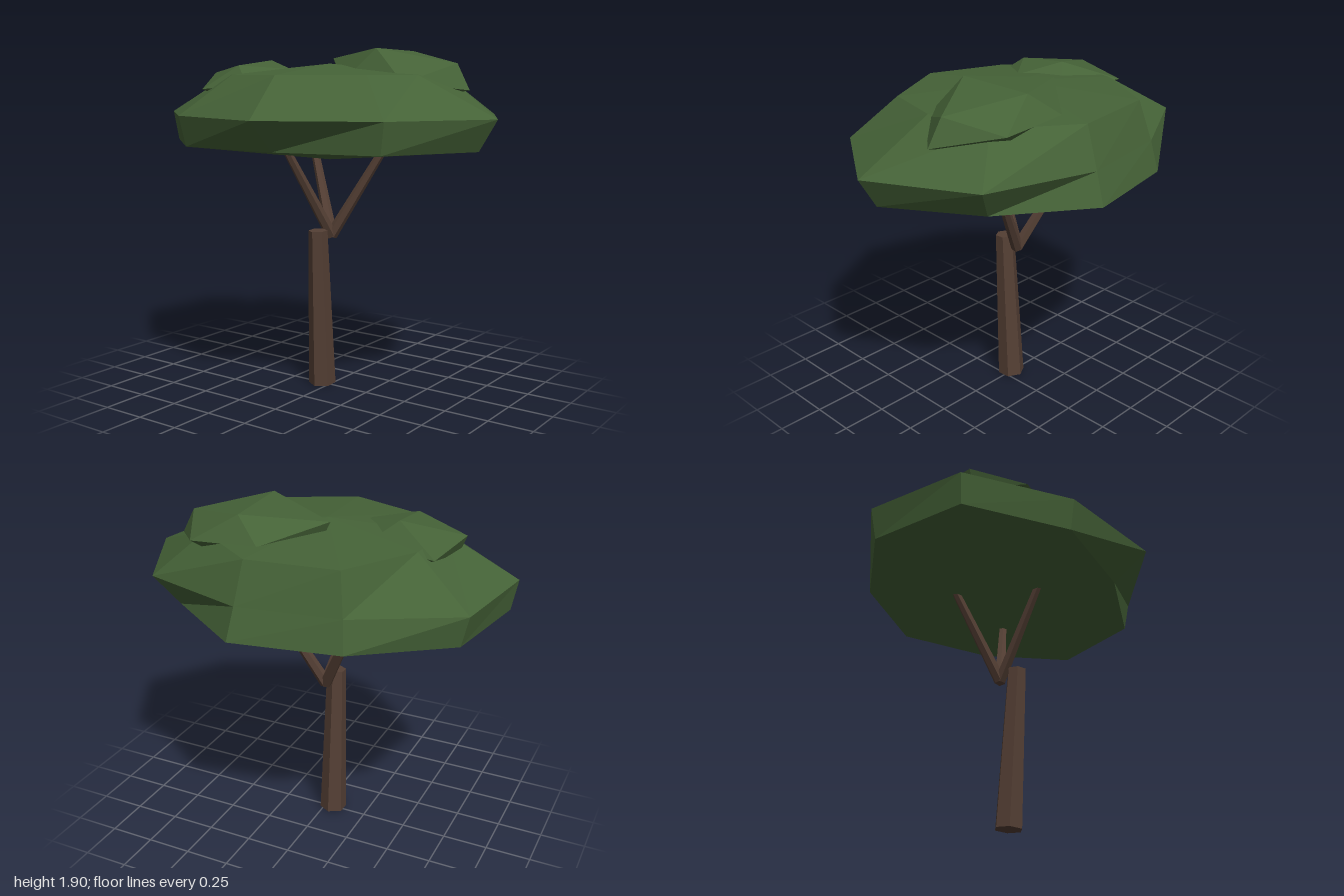
import * as THREE from 'three';
import { ConvexGeometry } from 'three/addons/geometries/ConvexGeometry.js';

const leaf = new THREE.MeshStandardMaterial({ name: 'leaf green', color: 0x456237, flatShading: true });
const bark = new THREE.MeshStandardMaterial({ name: 'bark brown', color: 0x543f34, flatShading: true });

// Faceted body from closed rings of [x, z] stacked bottom to top, capped by two centre points
function ringBody(rings, heights, bottom, top) {
  const n = rings[0].length, pos = [], index = [];
  rings.forEach((ring, r) => ring.forEach(([x, z]) => pos.push(x, heights[r], z)));
  const low = pos.length / 3, high = low + 1, last = (rings.length - 1) * n;
  pos.push(...bottom, ...top);
  for (let i = 0; i < n; i++) {
    const j = (i + 1) % n;
    for (let r = 0; r < last; r += n) {
      index.push(r + j, r + i, r + n + i, r + j, r + n + i, r + n + j);
    }
    index.push(low, i, j, high, last + j, last + i);
  }
  const indexed = new THREE.BufferGeometry();
  indexed.setAttribute('position', new THREE.Float32BufferAttribute(pos, 3));
  indexed.setIndex(index);
  const geometry = indexed.toNonIndexed();
  geometry.computeVertexNormals();
  return geometry;
}

// Tapered stick between two points
function limb(name, from, to, r0, r1, sides) {
  const a = new THREE.Vector3(...from), b = new THREE.Vector3(...to);
  const dir = b.clone().sub(a);
  const mesh = new THREE.Mesh(new THREE.CylinderGeometry(r1, r0, dir.length(), sides), bark);
  mesh.position.copy(a).add(b).multiplyScalar(0.5);
  mesh.quaternion.setFromUnitVectors(new THREE.Vector3(0, 1, 0), dir.normalize());
  mesh.name = name;
  return mesh;
}

function clump(name, points) {
  const mesh = new THREE.Mesh(new ConvexGeometry(points.map(p => new THREE.Vector3(...p))), leaf);
  mesh.name = name;
  return mesh;
}

export function createModel() {
  const tree = new THREE.Group();
  tree.name = 'tree';

  // Trunk and three forking branches
  tree.add(limb('trunk', [-0.05, 0.005, 0.003], [-0.045, 0.9, 0.05], 0.077, 0.054, 6));
  const fork = [-0.03, 0.86, -0.06];
  tree.add(limb('leftBranch', fork, [0.28, 1.42, -0.19], 0.034, 0.021, 6));
  tree.add(limb('rightBranch', fork, [-0.31, 1.42, -0.25], 0.034, 0.021, 6));
  tree.add(limb('frontBranch', fork, [-0.14, 1.42, 0.26], 0.034, 0.021, 6));

  // Wide flat canopy
  const lower = [[0.9, -0.02], [0.63, 0.47], [0.07, 0.6], [-0.53, 0.58], [-0.97, 0.18],
    [-0.88, -0.37], [-0.42, -0.7], [0.15, -0.8], [0.61, -0.48]];
  const rim = [[1, -0.02], [0.66, 0.49], [0.09, 0.79], [-0.55, 0.61], [-1, 0.19],
    [-0.92, -0.38], [-0.4, -0.66], [0.135, -0.74], [0.72, -0.56]];
  const upper = [[0.55, -0.01], [0.46, 0.33], [0.05, 0.54], [-0.37, 0.38], [-0.62, 0.12],
    [-0.59, -0.21], [-0.36, -0.6], [0.12, -0.66], [0.5, -0.39]];
  const canopy = new THREE.Mesh(
    ringBody([lower, rim, upper], [1.38, 1.545, 1.76], [-0.04, 1.29, -0.06], [-0.04, 1.82, -0.06]), leaf);
  canopy.name = 'canopy';
  tree.add(canopy);

  // Leaf clumps bulging from the top
  tree.add(clump('leftClump', [
    [0.3, 1.9, 0], [0.28, 1.89, -0.42], [0.66, 1.82, -0.23], [0.74, 1.68, -0.22],
    [-0.13, 1.85, -0.22], [-0.06, 1.7, -0.22], [0.5, 1.72, 0.06], [0.15, 1.73, 0.08],
    [0.51, 1.75, -0.51], [0.13, 1.77, -0.51], [0.3, 1.62, 0], [0.3, 1.62, -0.4]]));
  tree.add(clump('rightClump', [
    [-0.42, 1.84, -0.02], [-0.42, 1.81, 0.27], [-0.74, 1.77, 0.1], [-0.7, 1.67, 0.1],
    [-0.19, 1.79, 0.1], [-0.22, 1.68, 0.1], [-0.6, 1.68, 0.37], [-0.28, 1.71, 0.37],
    [-0.68, 1.73, -0.22], [-0.28, 1.73, -0.14], [-0.45, 1.6, 0.25], [-0.45, 1.6, -0.05]]));

  return tree;
}
